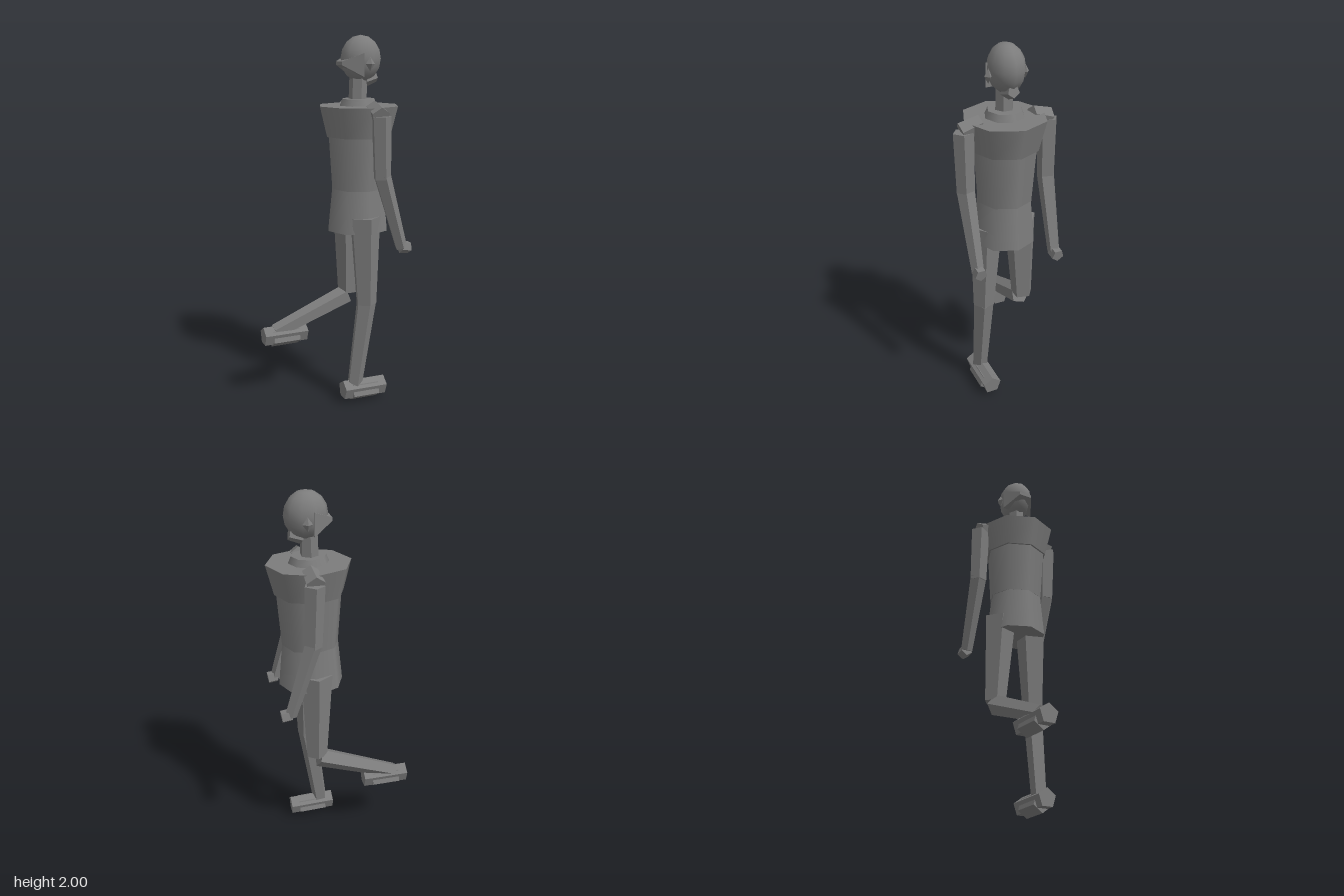
import * as THREE from 'three';

const V = (x, y, z) => new THREE.Vector3(x, y, z);

export function createModel() {
  const model = new THREE.Group();
  model.name = 'walkingFigure';
  const grey = new THREE.MeshStandardMaterial({ color: 0x7c7c7c });
  grey.name = 'grey';

  const add = (name, geometry) => {
    const mesh = new THREE.Mesh(geometry, grey);
    mesh.name = name;
    model.add(mesh);
    return mesh;
  };
  const faceted = (geometry) => {
    const g = geometry.index ? geometry.toNonIndexed() : geometry;
    g.computeVertexNormals();
    return g;
  };

  // Tapered prism from a to b, with one corner edge turned toward "point"
  const prism = (name, a, b, ra, rb, point, sides = 5) => {
    const y = b.clone().sub(a);
    const length = y.length();
    y.normalize();
    const z = point.clone().addScaledVector(y, -point.dot(y)).normalize();
    const x = y.clone().cross(z);
    const g = new THREE.CylinderGeometry(rb, ra, length, sides);
    g.applyMatrix4(new THREE.Matrix4().makeBasis(x, y, z).setPosition(a.clone().lerp(b, 0.5)));
    return add(name, faceted(g));
  };

  // Smooth eight-sided torso sections: bottom y, top y, bottom and top radius, depth ratio
  const section = (name, y0, y1, r0, r1, ratio, sides = 8) => {
    const g = new THREE.CylinderGeometry(r1, r0, y1 - y0, sides);
    g.scale(1, 1, ratio);
    g.translate(0.15, (y0 + y1) / 2, 0);
    return add(name, g);
  };
  section('hips', 0.97, 1.2, 0.173, 0.15, 0.95);
  section('waist', 1.2, 1.48, 0.15, 0.17, 0.97);
  section('chest', 1.48, 1.64, 0.18, 0.22, 0.97);
  section('collar', 1.64, 1.675, 0.105, 0.09, 0.97);
  prism('neck', V(0.145, 1.66, 0), V(0.147, 1.79, 0), 0.048, 0.046, V(0, 0, 1), 6);

  // Head, wedge behind it, chin and ears
  const skull = new THREE.SphereGeometry(1, 10, 8);
  skull.scale(0.112, 0.12, 0.092);
  skull.translate(0.16, 1.88, 0);
  add('head', skull);

  const wedge = new THREE.BoxGeometry(0.1, 0.12, 0.19);
  const p = wedge.attributes.position;
  for (let i = 0; i < p.count; i++) {
    if (p.getX(i) < 0) p.setXYZ(i, p.getX(i), 0.008 + p.getY(i) * 0.15, p.getZ(i) * 0.4);
  }
  wedge.translate(0.087, 1.85, 0);
  add('headBack', faceted(wedge));

  prism('chin', V(0.18, 1.775, 0), V(0.245, 1.79, 0), 0.042, 0.032, V(0, -1, 0));

  for (const s of [1, -1]) {
    const side = s > 0 ? 'right' : 'left';
    const out = V(0, 0, s);
    const ear = new THREE.OctahedronGeometry(1);
    ear.scale(0.026, 0.036, 0.02);
    ear.translate(0.17, 1.855, s * 0.096);
    add(side + 'Ear', faceted(ear));

    // Arms swinging forward
    prism(side + 'Shoulder', V(0.172, 1.635, s * 0.135), V(0.165, 1.6, s * 0.235), 0.042, 0.05, V(0, 1, 0));
    prism(side + 'UpperArm', V(0.17, 1.6, s * 0.227), V(0.182, 1.28, s * 0.225), 0.053, 0.047, out);
    prism(side + 'Forearm', V(0.18, 1.3, s * 0.225), V(0.305, 0.9, s * 0.22), 0.047, 0.033, out);
    prism(side + 'Hand', V(0.3, 0.903, s * 0.22), V(0.352, 0.896, s * 0.22), 0.034, 0.034, V(0, -1, 0));

    // Thighs
    prism(side + 'Thigh', V(0.143, 1.055, s * 0.1), V(0.15, 0.57, s * 0.118), 0.087, 0.058, out);
  }

  // Standing shin, and the other one folded backwards
  prism('standingShin', V(0.15, 0.575, 0.118), V(0.087, 0.1, 0.115), 0.056, 0.043, V(0, 0, 1));
  prism('raisedShin', V(0.135, 0.55, -0.115), V(-0.3, 0.385, -0.115), 0.056, 0.043, V(0, 0, -1));

  // Feet: upper with its ridge on top, narrower sole with its ridge below
  const foot = (name, x, y, z, tilt) => {
    const span = (half, dy) => [V(x - half, y + dy + tilt * half, z), V(x + half, y + dy - tilt * half, z)];
    prism(name + 'Foot', ...span(0.125, 0), 0.053, 0.053, V(0, 1, 0));
    prism(name + 'Sole', ...span(0.077, -0.012), 0.055, 0.055, V(0, -1, 0));
  };
  foot('standing', 0.139, 0.07, 0.117, 0.035);
  foot('raised', -0.245, 0.367, -0.113, 0.01);

  return model;
}
